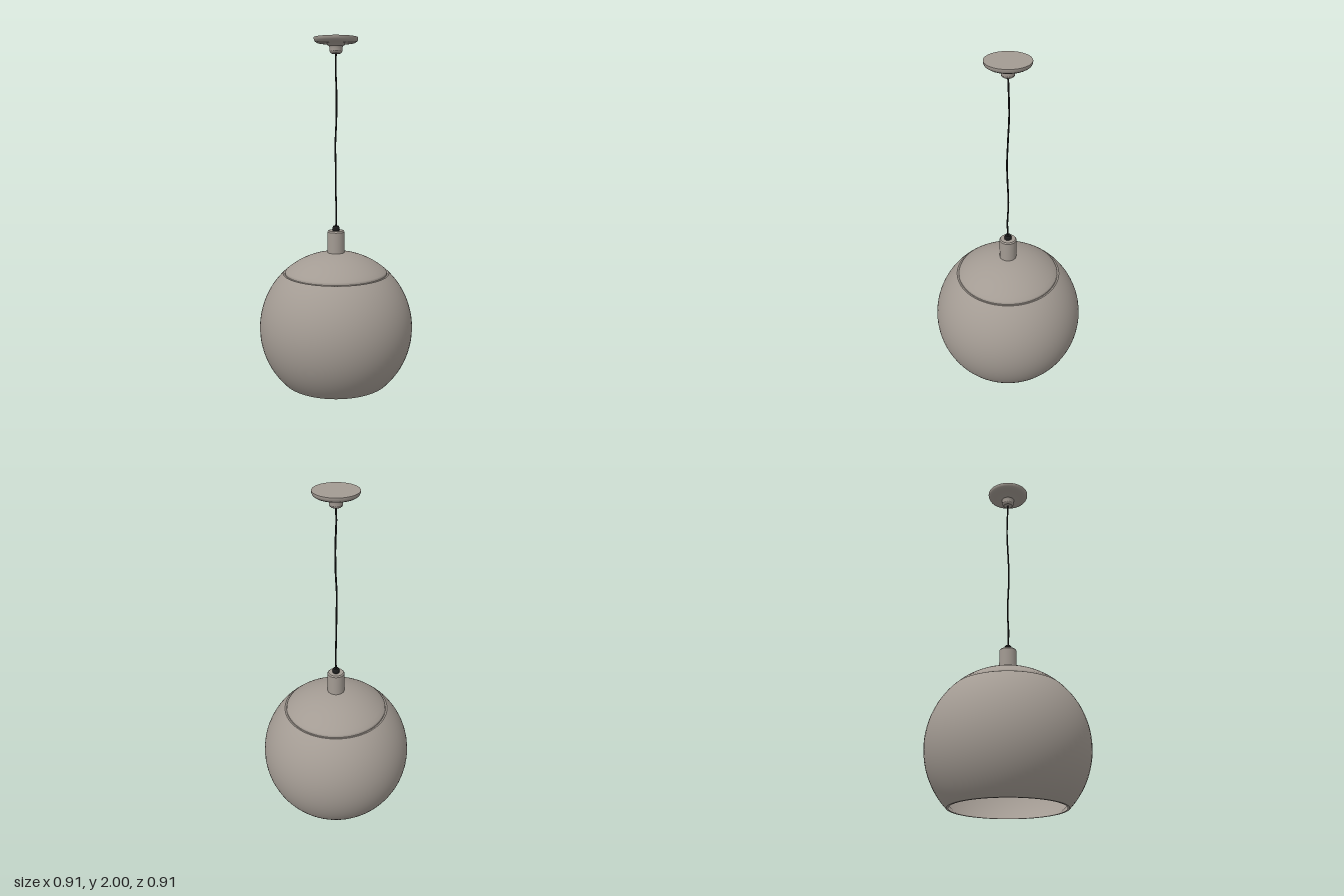
import * as THREE from 'three';

export function createModel() {
  const lamp = new THREE.Group();
  lamp.name = 'pendantLamp';

  const shell = new THREE.MeshStandardMaterial({ color: 0xa39b93, side: THREE.DoubleSide });
  shell.name = 'warm grey';
  const black = new THREE.MeshStandardMaterial({ color: 0x1c1c1c });
  black.name = 'cord black';

  const R = 0.453, CY = 0.32;

  const add = (name, geometry, material) => {
    const mesh = new THREE.Mesh(geometry, material);
    mesh.name = name;
    lamp.add(mesh);
    return mesh;
  };
  // Points on a circle of the globe between two heights
  const arc = (r, y0, y1, n) => {
    const a0 = Math.asin((y0 - CY) / r), a1 = Math.asin(Math.min(1, (y1 - CY) / r));
    return Array.from({ length: n + 1 }, (_, i) => {
      const a = a0 + (a1 - a0) * i / n;
      return new THREE.Vector2(Math.max(0, r * Math.cos(a)), CY + r * Math.sin(a));
    });
  };
  // Each smooth run is its own lathe, so the joins between runs stay sharp
  const lathe = (name, runs, material, sides) => {
    const part = new THREE.Group();
    part.name = name;
    runs.forEach((run, i) => {
      const pts = run.map(p => (p.isVector2 ? p : new THREE.Vector2(p[0], p[1])));
      const mesh = new THREE.Mesh(new THREE.LatheGeometry(pts, sides), material);
      mesh.name = name + 'Surface' + (i + 1);
      part.add(mesh);
    });
    lamp.add(part);
  };

  // Globe shade: outer skin, thin lower rim and inner skin
  const outer = arc(R, 0, 0.648, 40);
  const inner = arc(R - 0.008, 0, CY + R - 0.008, 40).reverse();
  lathe('globeShade', [outer, [inner[inner.length - 1], outer[0]], inner], shell, 72);

  // Domed cap with a rolled edge, set into a fine seam
  const dome = arc(R, 0.668, CY + R, 20);
  lathe('domeCap', [
    [outer[outer.length - 1], [0.3, 0.645]],
    [[0.3, 0.645], [0.301, 0.654], [0.297, 0.662], ...dome.slice(1)],
  ], shell, 72);

  // Socket sleeve above the dome
  lathe('socketSleeve', [
    [[0.05, 0.765], [0.05, 0.893]],
    [[0.05, 0.893], [0.044, 0.901]],
    [[0.044, 0.901], [0, 0.901]],
  ], shell, 32);

  // Cord grip
  lathe('cordGrip', [
    [[0.021, 0.9], [0.021, 0.918]],
    [[0.021, 0.918], [0.016, 0.927]],
    [[0.016, 0.927], [0, 0.927]],
  ], black, 16);

  // Slightly wavy hanging cord
  const path = [
    [0, 0.92, 0], [0.001, 1.01, 0.004], [-0.001, 1.15, -0.003], [-0.003, 1.3, 0.002],
    [-0.005, 1.4, 0.004], [0.002, 1.55, 0.001], [0.004, 1.7, -0.005],
    [-0.001, 1.83, -0.004], [0, 1.92, 0],
  ].map(p => new THREE.Vector3(...p));
  add('hangingCord', new THREE.TubeGeometry(new THREE.CatmullRomCurve3(path), 80, 0.005, 8), black);

  // Ceiling canopy and its small cord collar
  lathe('ceilingCanopy', [
    [[0.04, 1.953], [0.055, 1.963], [0.085, 1.967], [0.108, 1.971], [0.12, 1.979], [0.125, 1.99], [0.125, 2]],
    [[0.125, 2], [0, 2]],
  ], shell, 32);
  lathe('canopyCollar', [
    [[0, 1.912], [0.026, 1.912]],
    [[0.026, 1.912], [0.034, 1.918], [0.036, 1.926]],
    [[0.036, 1.926], [0.036, 1.945], [0.04, 1.953]],
  ], shell, 24);

  return lamp;
}
